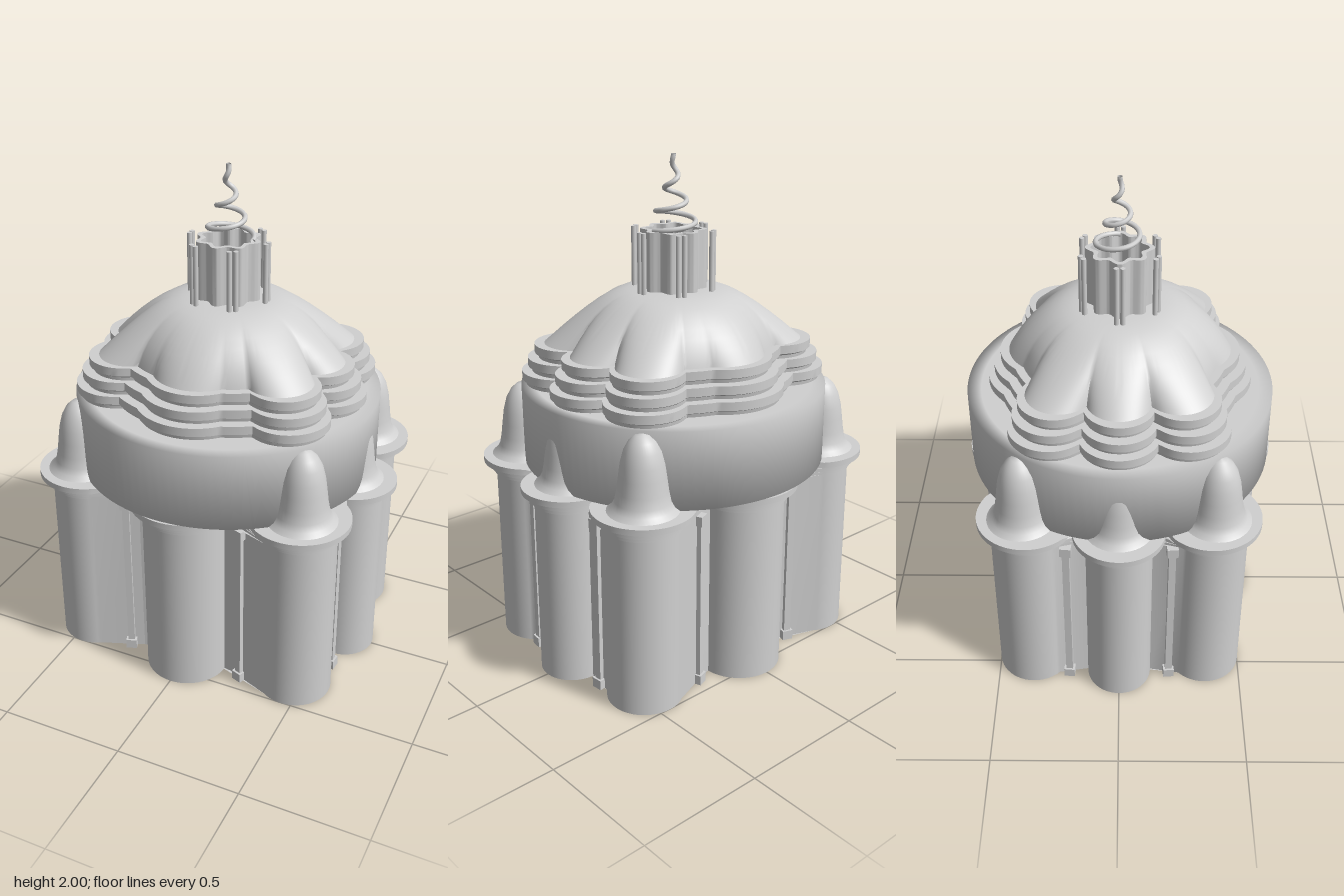
import * as THREE from 'three';
import { toCreasedNormals } from 'three/addons/utils/BufferGeometryUtils.js';

const stone = new THREE.MeshStandardMaterial({ color: 0xd0d0d0, side: THREE.DoubleSide });
stone.name = 'stone';

// Skin a list of closed horizontal rings of [x, y, z] points
function loft(rings, crease = 0.7) {
  const n = rings[0].length, index = [];
  for (let i = 0; i < rings.length - 1; i++) {
    for (let j = 0; j < n; j++) {
      const a = i * n + j, b = i * n + (j + 1) % n;
      index.push(a, a + n, b, a + n, b + n, b);
    }
  }
  const g = new THREE.BufferGeometry();
  g.setAttribute('position', new THREE.Float32BufferAttribute(rings.flat(2), 3));
  g.setIndex(index);
  return toCreasedNormals(g, crease);
}

// Eight chapel lobes in angular order: centre, radius, facing, half arc
const lobes = [];
for (let q = 0; q < 4; q++) {
  const odd = q % 2;
  const a = q * Math.PI / 2;
  lobes.push({
    kind: odd ? 'front' : 'side',
    x: Math.round(Math.cos(a)) * 0.54, z: Math.round(Math.sin(a)) * 0.40,
    r: odd ? 0.17 : 0.13, dir: a, half: Math.PI / 2,
  });
  const sx = q === 0 || q === 3 ? 1 : -1, sz = q < 2 ? 1 : -1;
  lobes.push({
    kind: 'corner', x: 0.458 * sx, z: 0.355 * sz, r: 0.148,
    dir: Math.atan2(0.62 * sz, 0.78 * sx), half: 1.48,
  });
}

// Ground plan: lobe arcs joined by straight walls, pushed outward by d
function wallRing(d, y) {
  const pts = [], seg = 28;
  for (const l of lobes) {
    for (let i = 0; i <= seg; i++) {
      const a = l.dir + l.half * (2 * i / seg - 1);
      pts.push([l.x + (l.r + d) * Math.cos(a), y, l.z + (l.r + d) * Math.sin(a)]);
    }
  }
  return pts;
}

// Scalloped plan of the upper tiers, as a radius for each angle
const scallops = [[0.385, 0, 0.135], [0.335, 0.24, 0.14], [0, 0.27, 0.20]];
function scallopRadius(t) {
  const c = Math.abs(Math.cos(t)), s = Math.abs(Math.sin(t));
  let r = 0.42 + 0.02 * c;
  for (const [x, z, R] of scallops) {
    const along = x * c + z * s, across = x * s - z * c;
    if (Math.abs(across) < R) r = Math.max(r, along + Math.sqrt(R * R - across * across));
  }
  return r;
}
function polarRing(fn, y, n = 256) {
  return Array.from({ length: n }, (_, i) => {
    const t = i / n * Math.PI * 2, r = fn(t);
    return [r * Math.cos(t), y, r * Math.sin(t)];
  });
}

const lathe = (pts, n = 40) => new THREE.LatheGeometry(pts.map(p => new THREE.Vector2(...p)), n);

export function createModel() {
  const model = new THREE.Group();
  model.name = 'domedChapel';
  const add = (name, geo, x = 0, y = 0, z = 0, parent = model) => {
    const m = new THREE.Mesh(geo, stone);
    m.name = name;
    m.position.set(x, y, z);
    parent.add(m);
    return m;
  };

  // Hollow lobed walls
  add('lobedWall', loft([[-0.04, 0.75], [-0.04, 0], [0, 0], [0, 0.75]].map(p => wallRing(...p)), 0.9));

  // Moulded cornice following the wall
  add('cornice', loft([
    [-0.04, 0.73], [0.01, 0.73], [0.01, 0.745], [0.022, 0.748], [0.022, 0.765],
    [0.035, 0.773], [0.05, 0.776], [0.05, 0.80], [-0.06, 0.80],
  ].map(p => wallRing(...p)), 0.5));

  // Slim pilasters with base and capital between the lobes
  for (const sx of [-1, 1]) for (const sz of [-1, 1]) {
    for (const [x, z, turn] of [[0.25, 0.435, -0.35], [0.56, 0.205, 1.48]]) {
      const p = new THREE.Group();
      p.name = 'pilaster';
      p.position.set(x * sx, 0, z * sz);
      p.rotation.y = turn * sx * sz;
      add('pilasterShaft', new THREE.BoxGeometry(0.028, 0.73, 0.028), 0, 0.365, 0, p);
      add('pilasterBase', new THREE.BoxGeometry(0.044, 0.04, 0.044), 0, 0.02, 0, p);
      add('pilasterCapital', new THREE.BoxGeometry(0.044, 0.04, 0.044), 0, 0.71, 0, p);
      model.add(p);
    }
  }

  // Flared bell-shaped roofs on the corner and side lobes
  const bell = lathe([[0.14, 0.797], [0.118, 0.815], [0.105, 0.84], [0.097, 0.88], [0.09, 0.935],
    [0.083, 0.985], [0.07, 1.035], [0.05, 1.072], [0.026, 1.094], [0, 1.1]]);
  for (const l of lobes) {
    if (l.kind === 'corner') add('cornerBellRoof', bell, Math.sign(l.x) * 0.475, 0, Math.sign(l.z) * 0.375);
    if (l.kind === 'side') add('sideBellRoof', bell, Math.sign(l.x) * 0.53, 0, 0);
  }

  // Round drum
  add('drum', lathe([[0.42, 0.80], [0.61, 0.80], [0.61, 1.108], [0.555, 1.108], [0.40, 1.108]], 96));

  // Three scalloped steps
  [0.053, 0.028, 0].forEach((d, i) => {
    const y = 1.108 + i * 0.054;
    const profile = [[d - 0.015, y], [d - 0.012, y + 0.014], [d, y + 0.02], [d, y + 0.054], [d - 0.1, y + 0.054]];
    add('scallopedStep', loft(profile.map(([o, h]) => polarRing(t => scallopRadius(t) + o, h)), 0.6));
  });

  // Dome: scalloped at the foot, fading to a round oculus
  const domeProfile = [[0.475, 1.262], [0.455, 1.285], [0.42, 1.325], [0.38, 1.365], [0.34, 1.40],
    [0.30, 1.43], [0.26, 1.454], [0.22, 1.47], [0.18, 1.479], [0.14, 1.483], [0.105, 1.484]];
  add('dome', loft(domeProfile.map(([r, y]) => {
    const k = Math.pow(Math.max(0, (r - 0.15) / 0.325), 2.4);
    return polarRing(t => r * (1 + k * ((scallopRadius(t) - 0.03) / 0.475 - 1)), y);
  }), 1.0));

  // Open lantern with a scalloped wall
  const petals = d => t => 0.118 + 0.012 * Math.cos(8 * t) + d;
  add('lantern', loft([
    polarRing(petals(-0.02), 1.475, 128), polarRing(petals(0), 1.475, 128),
    polarRing(petals(0), 1.715, 128), polarRing(petals(-0.02), 1.715, 128), polarRing(petals(-0.02), 1.475, 128),
  ]));

  // Paired lantern columns
  const column = new THREE.CylinderGeometry(0.01, 0.01, 0.245, 12);
  for (let i = 0; i < 6; i++) {
    for (const s of [-1, 1]) {
      const a = i * Math.PI / 3 + s * 0.075;
      add('lanternColumn', column, 0.16 * Math.cos(a), 1.594, 0.16 * Math.sin(a));
    }
  }

  // Tapering spiral finial
  const spiral = [];
  for (let i = 0; i <= 120; i++) {
    const u = i / 120, a = u * Math.PI * 6, r = 0.1 * Math.pow(1 - u, 1.1);
    spiral.push(new THREE.Vector3(r * Math.cos(a), 1.717 + 0.2 * u + 0.076 * u * u, -r * Math.sin(a)));
  }
  spiral.push(new THREE.Vector3(0, 2.0, 0));
  add('spiralFinial', new THREE.TubeGeometry(new THREE.CatmullRomCurve3(spiral), 260, 0.01, 8));

  return model;
}
